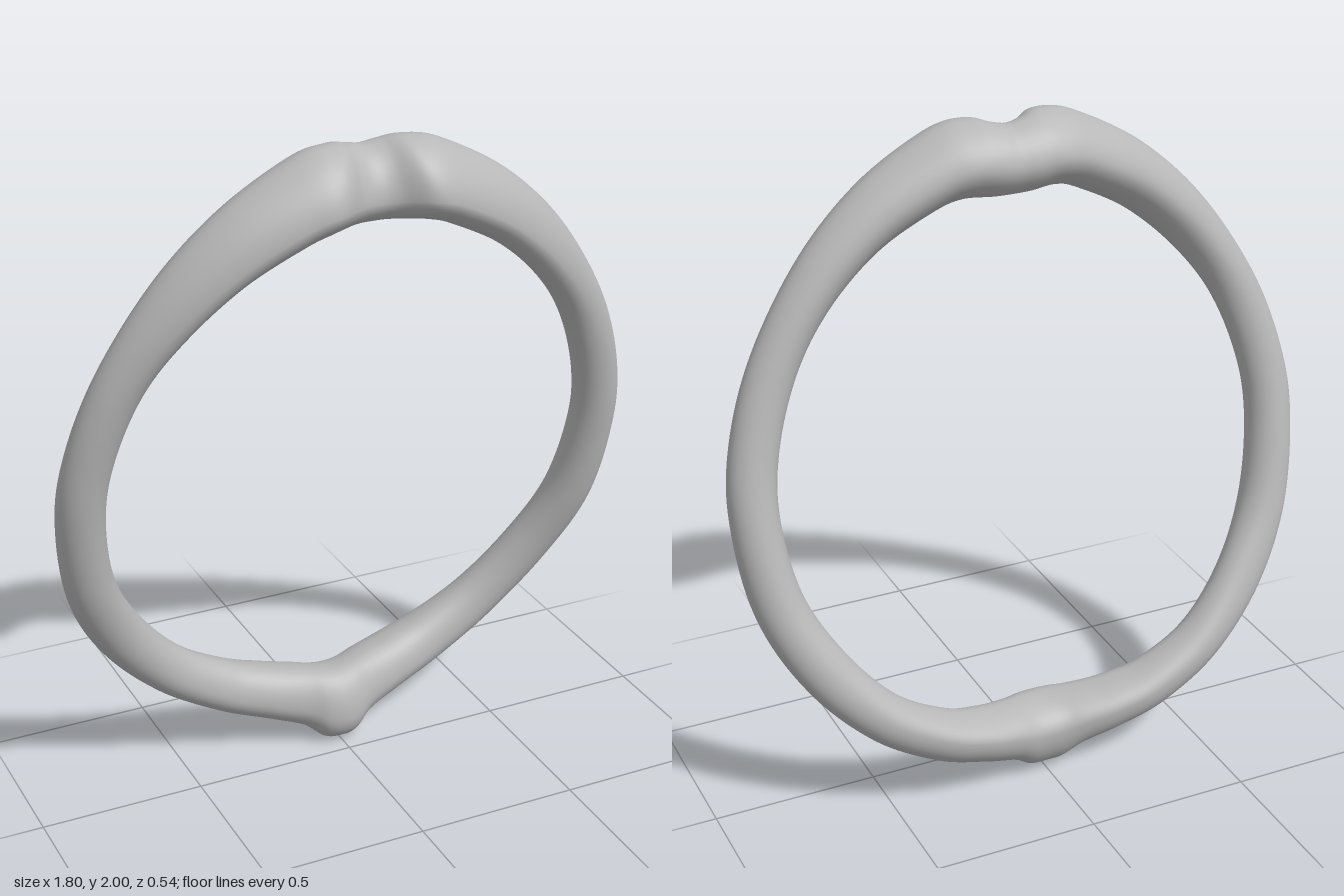
import * as THREE from 'three';

// Half of the loop from top centre to bottom centre:
// inner x, inner y, outer x, outer y, front z, back z
const HALF = [
  [0, 1.77, 0, 1.98, 0.2, -0.02],
  [0.06, 1.77, 0.045, 1.987, 0.212, -0.022],
  [0.15, 1.768, 0.11, 2.0, 0.265, -0.018],
  [0.235, 1.74, 0.22, 1.978, 0.263, -0.003],
  [0.4, 1.65, 0.43, 1.86, 0.232, 0.015],
  [0.55, 1.515, 0.62, 1.68, 0.188, 0.016],
  [0.66, 1.36, 0.785, 1.43, 0.135, 0],
  [0.735, 1.16, 0.875, 1.19, 0.093, -0.035],
  [0.757, 0.97, 0.9, 0.97, 0.058, -0.08],
  [0.72, 0.74, 0.86, 0.69, 0.005, -0.14],
  [0.62, 0.55, 0.745, 0.46, -0.065, -0.2],
  [0.48, 0.39, 0.57, 0.27, -0.106, -0.25],
  [0.32, 0.295, 0.38, 0.15, -0.105, -0.27],
  [0.2, 0.258, 0.22, 0.09, -0.078, -0.266],
  [0.11, 0.243, 0.11, 0.05, -0.052, -0.25],
  [0.05, 0.236, 0.05, 0.006, -0.025, -0.238],
  [0, 0.233, 0, 0, -0.016, -0.235],
];

const STEPS = 8; // rings between stations
const SIDES = 40; // points around the section

// Smooth interpolation through four station values
function spline(a, b, c, d, t) {
  return b + 0.5 * t * (c - a + t * (2 * a - 5 * b + 4 * c - d + t * (3 * (b - c) + d - a)));
}

// Section made of four elliptic quarters joining the inner, front, outer and back extremes
function section([ix, iy, ox, oy, zf, zb], positions) {
  const y = (iy + oy) / 2;
  const top = THREE.MathUtils.smoothstep(y, 1.2, 1.8);
  const low = 1 - THREE.MathUtils.smoothstep(y, 0.12, 0.5);
  const frontAt = 0.5 - 0.17 * top + 0.1 * low;
  const backAt = 0.5 - 0.15 * low;
  const innerAt = 0.5 + 0.1 * top + 0.1 * low;
  const outerAt = 0.5 - 0.03 * top + 0.1 * low;
  const power = 1 + 0.1 * top;
  for (let j = 0; j < SIDES; j++) {
    const a = (j / SIDES) * Math.PI * 2;
    const c = Math.cos(a), s = Math.sin(a);
    const out = Math.sign(c) * Math.abs(c) ** power;
    const fwd = Math.sign(s) * Math.abs(s) ** power;
    const side = s >= 0 ? frontAt : backAt;
    const end = c >= 0 ? outerAt : innerAt;
    const u = side + out * (c >= 0 ? 1 - side : side);
    const v = end + fwd * (s >= 0 ? 1 - end : end);
    positions.push(ix + (ox - ix) * u, iy + (oy - iy) * u, zb + (zf - zb) * v);
  }
}

function bandGeometry() {
  // Mirror the half to close the loop
  const mirrored = HALF.slice(1, -1).reverse().map(([ix, iy, ox, oy, zf, zb]) => [-ix, iy, -ox, oy, zf, zb]);
  const stations = [...HALF, ...mirrored];
  const n = stations.length;
  const at = (i) => stations[(i + n) % n];
  const positions = [], indices = [];
  for (let i = 0; i < n; i++) {
    for (let k = 0; k < STEPS; k++) {
      const t = k / STEPS;
      section(at(i).map((b, m) => spline(at(i - 1)[m], b, at(i + 1)[m], at(i + 2)[m], t)), positions);
    }
  }
  const rings = n * STEPS;
  for (let i = 0; i < rings; i++) {
    for (let j = 0; j < SIDES; j++) {
      const i2 = (i + 1) % rings, j2 = (j + 1) % SIDES;
      const a = i * SIDES + j, b = i * SIDES + j2, c = i2 * SIDES + j, d = i2 * SIDES + j2;
      indices.push(a, b, c, b, d, c);
    }
  }
  const geometry = new THREE.BufferGeometry();
  geometry.setAttribute('position', new THREE.Float32BufferAttribute(positions, 3));
  geometry.setIndex(indices);
  geometry.computeVertexNormals();
  return geometry;
}

export function createModel() {
  const metal = new THREE.MeshStandardMaterial({ color: 0xb8b8b8 });
  metal.name = 'grey metal';
  const band = new THREE.Mesh(bandGeometry(), metal);
  band.name = 'ringBand';
  const model = new THREE.Group();
  model.name = 'ring';
  model.add(band);
  return model;
}
